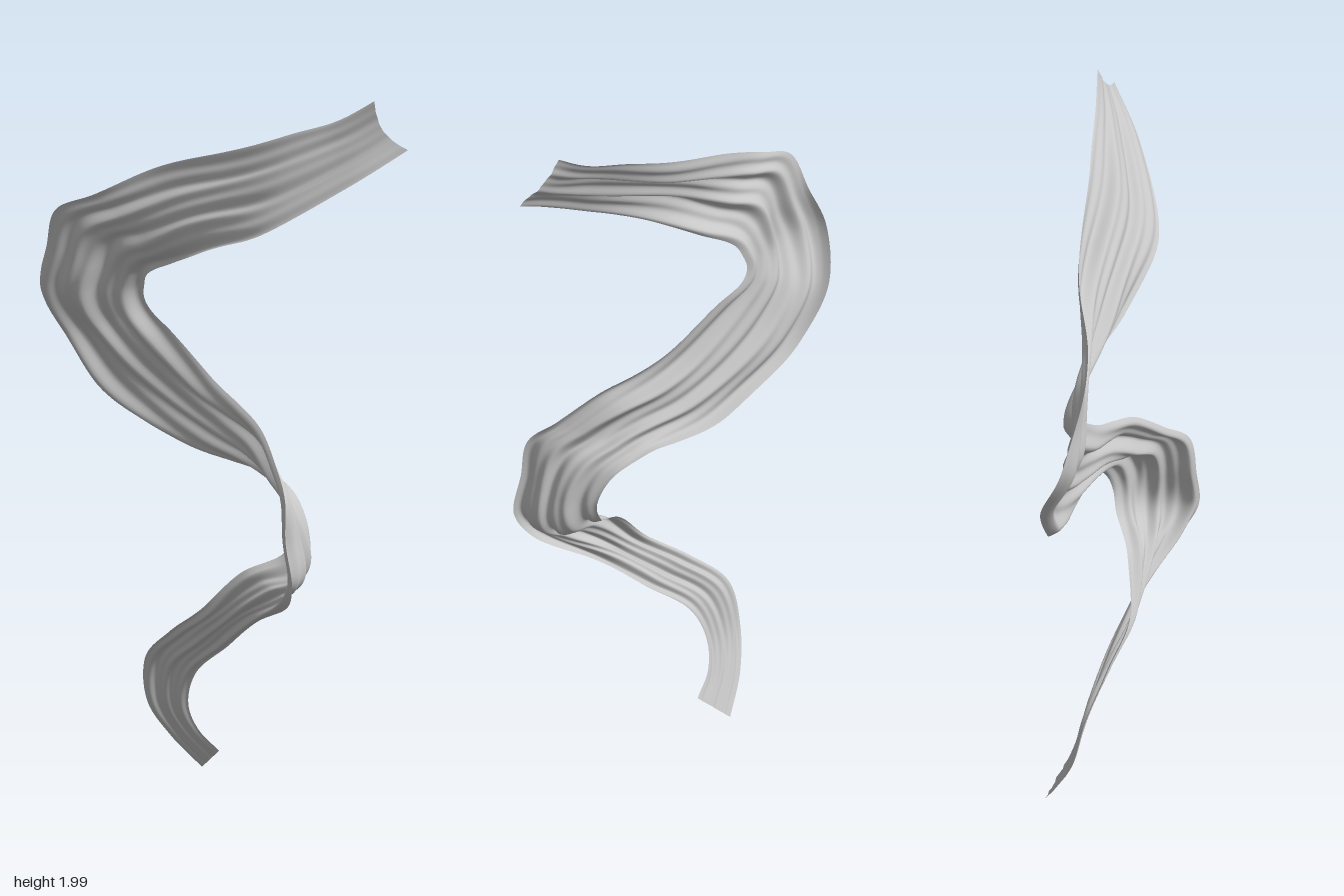
import * as THREE from 'three';

const toCurve = (pts) =>
  new THREE.CatmullRomCurve3(pts.map((p) => new THREE.Vector3(...p)), false, 'centripetal');

// the two long edges of the cloth, paired point by point from the top end down
const leftEdge = toCurve([
  [0.42, 2.0, -0.165], [0.3, 1.92, -0.125], [0.17, 1.86, -0.085], [-0.02, 1.78, -0.04], [-0.2, 1.71, 0.025],
  [-0.35, 1.635, 0.11], [-0.45, 1.575, 0.15], [-0.5, 1.46, 0.145], [-0.535, 1.34, 0.12], [-0.51, 1.19, 0.05],
  [-0.41, 1.06, 0.03], [-0.28, 0.98, 0], [-0.14, 0.93, -0.03], [0, 0.91, -0.045], [0.1, 0.9, -0.055],
  [0.195, 0.86, -0.055], [0.243, 0.77, -0.045], [0.22, 0.71, -0.02], [0.127, 0.655, 0.05], [0.026, 0.53, 0.1],
  [-0.106, 0.437, 0.085], [-0.21, 0.336, 0.06], [-0.233, 0.2, 0.03], [-0.2, 0.1, -0.025], [-0.14, 0.005, -0.085],
]);
const rightEdge = toCurve([
  [0.54, 1.89, -0.165], [0.434, 1.786, -0.04], [0.25, 1.654, 0.09], [0.106, 1.59, 0.11], [-0.005, 1.53, 0.1],
  [-0.12, 1.475, 0.065], [-0.19, 1.435, 0.045], [-0.235, 1.4, 0.035], [-0.25, 1.36, 0.03], [-0.23, 1.315, 0.03],
  [-0.16, 1.26, 0.03], [-0.02, 1.167, 0.02], [0.1, 1.11, 0.02], [0.2, 1.06, 0.04], [0.3, 0.98, 0.09],
  [0.355, 0.918, 0.13], [0.37, 0.81, 0.145], [0.4, 0.69, 0.145], [0.355, 0.62, 0.11], [0.196, 0.526, 0.055],
  [0.063, 0.42, 0.03], [-0.07, 0.31, 0.02], [-0.11, 0.204, 0], [-0.1, 0.13, -0.03], [-0.053, 0.077, -0.06],
]);

const bump = (u, center, reach) => Math.exp(-(((u - center) / reach) ** 2));

// height of the lengthwise folds at u along and v across the cloth
function foldHeight(u, v) {
  const calm = 0.25 + 0.75 * Math.min(1, 8 * u, 5 * (1 - u));
  const folds = 0.04 * Math.sin(17 * v + 1.5 * Math.sin(7 * u))
    + 0.022 * Math.sin(35 * v + 9 * u + 1)
    + 0.025 * Math.sin(9 * v - 26 * u);
  // forward swell in the upper bend, hollow in the lower bend
  const swell = 0.19 * Math.sin(Math.PI * Math.sqrt(v)) * bump(u, 0.34, 0.06);
  const hollow = 0.2 * Math.sin(Math.PI * v) * bump(u, 0.69, 0.06);
  return calm * folds + swell - hollow;
}

function clothGeometry(across, along) {
  const geometry = new THREE.PlaneGeometry(1, 1, across, along);
  const position = geometry.attributes.position;
  const point = new THREE.Vector3();
  for (let j = 0; j <= along; j++) {
    const u = j / along;
    const a = leftEdge.getPoint(u);
    const b = rightEdge.getPoint(u);
    const span = b.clone().sub(a);
    const tangent = leftEdge.getTangent(u).add(rightEdge.getTangent(u));
    const normal = span.clone().cross(tangent).normalize().negate();
    const width = Math.min(span.length(), 0.25);
    for (let i = 0; i <= across; i++) {
      const v = i / across;
      // slightly uneven hems
      const t = v + 0.012 * (1 - v) * Math.sin(70 * u) + 0.015 * v * Math.sin(58 * u + 2);
      point.copy(a).addScaledVector(span, t).addScaledVector(normal, width * foldHeight(u, v));
      // shallow notch in the top end
      point.addScaledVector(tangent, 0.014 * Math.sin(Math.PI * v) * Math.max(0, 1 - u * 20));
      position.setXYZ(j * (across + 1) + i, point.x, point.y, point.z);
    }
  }
  geometry.computeVertexNormals();
  return geometry;
}

export function createModel() {
  const group = new THREE.Group();
  group.name = 'flowingCloth';
  const clothGrey = new THREE.MeshStandardMaterial({ color: 0xc6c6c6, side: THREE.DoubleSide });
  clothGrey.name = 'clothGrey';
  const cloth = new THREE.Mesh(clothGeometry(48, 260), clothGrey);
  cloth.name = 'clothRibbon';
  group.add(cloth);
  return group;
}
